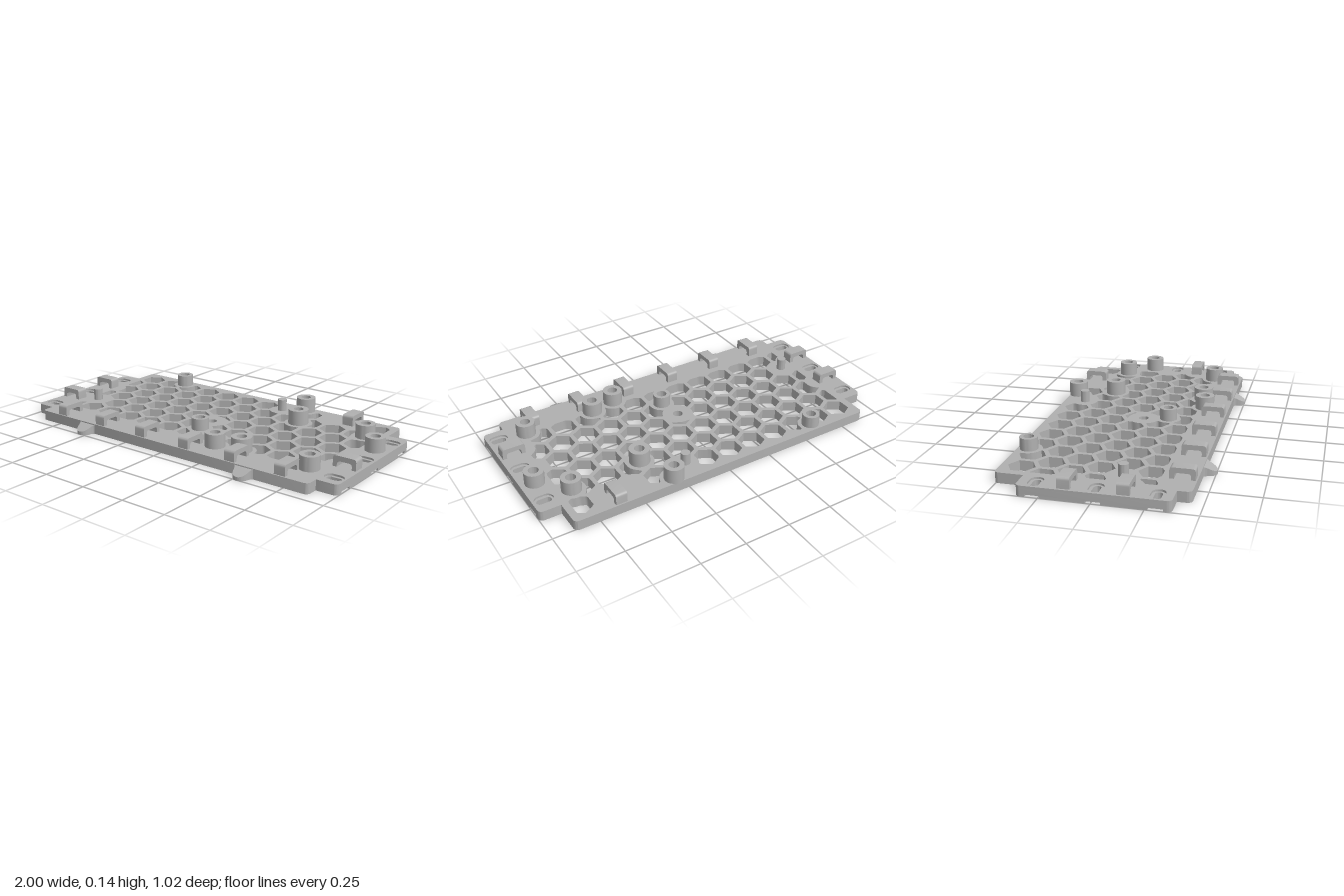
import * as THREE from 'three';
import { toCreasedNormals } from 'three/addons/utils/BufferGeometryUtils.js';

const plastic = new THREE.MeshStandardMaterial({ color: 0xb0b0b0 });
plastic.name = 'grey plastic';

const TOP = 0.055;      // plate thickness
const BODY_X = 0.885;   // half width of the body
const SLOT_Z = [-0.278, 0.012, 0.3];

// screw bosses: x, z, radius, top height
const BOSSES = [
  [-0.564, -0.45, 0.047, 0.12], [0.313, -0.463, 0.053, 0.135],
  [0.393, -0.255, 0.055, 0.135], [0.79, -0.278, 0.052, 0.13],
  [0.922, -0.133, 0.052, 0.13], [0.79, 0.277, 0.052, 0.13],
  [0.393, 0.277, 0.054, 0.13], [0.249, 0.308, 0.053, 0.13],
  [0.024, 0.144, 0.047, 0.12],
];
const PINS = [[0.2, -0.39], [-0.783, 0.1]];

// solid areas that the honeycomb leaves free: x, z, radius
const SOLID = [
  ...BOSSES.map(([x, z, r]) => [x, z, r + 0.022]),
  ...PINS.map(([x, z]) => [x, z, 0.07]),
  [0, 0.01, 0.085], [0.52, -0.405, 0.07], [0.665, -0.405, 0.07],
  [-0.87, -0.13, 0.07], [-0.87, 0.15, 0.07], [0.87, 0.15, 0.07],
];

function add(parent, name, geometry) {
  const mesh = new THREE.Mesh(toCreasedNormals(geometry, 0.6), plastic);
  mesh.name = name;
  parent.add(mesh);
  return mesh;
}

// plan shape (x, -z) raised from y0 to y1
function slab(shape, y0, y1) {
  return new THREE.ExtrudeGeometry(shape, { depth: y1 - y0, bevelEnabled: false, curveSegments: 16 })
    .rotateX(-Math.PI / 2).translate(0, y0, 0);
}

function circle(x, z, r) {
  return new THREE.Path().absarc(x, -z, r, 0, Math.PI * 2, true);
}

function roundedRect(path, x0, y0, x1, y1, r) {
  path.moveTo(x0 + r, y0);
  path.lineTo(x1 - r, y0).absarc(x1 - r, y0 + r, r, -Math.PI / 2, 0);
  path.lineTo(x1, y1 - r).absarc(x1 - r, y1 - r, r, 0, Math.PI / 2);
  path.lineTo(x0 + r, y1).absarc(x0 + r, y1 - r, r, Math.PI / 2, Math.PI);
  path.lineTo(x0, y0 + r).absarc(x0 + r, y0 + r, r, Math.PI, Math.PI * 1.5);
  return path;
}

// one honeycomb opening, cut back around the solid areas and the border
function hexHole(cx, cz) {
  const dist = (x, z) => {
    let d = Math.max(Math.abs(x) - 0.847, -0.475 - z, z - 0.275);
    for (let k = 0; k < 3; k++) {
      const a = k * Math.PI / 3;
      d = Math.max(d, Math.abs((x - cx) * Math.cos(a) + (z - cz) * Math.sin(a)) - 0.061);
    }
    for (const [sx, sz, r] of SOLID) d = Math.max(d, r - Math.hypot(x - sx, z - sz));
    return d;
  };
  let best = [0, 0, -0.008];
  for (let i = -6; i <= 6; i++) for (let j = -6; j <= 6; j++) {
    const x = cx + i * 0.011, z = cz + j * 0.011, d = dist(x, z);
    if (d < best[2] - 1e-6) best = [x, z, d];
  }
  if (best[2] === -0.008) return null;
  const points = [];
  for (let k = 0; k < 36; k++) {
    const a = k * Math.PI / 18, c = Math.cos(a), s = Math.sin(a);
    let t = 0;
    for (let n = 0; n < 40; n++) t -= dist(best[0] + c * t, best[1] + s * t);
    points.push(new THREE.Vector2(best[0] + c * t, -(best[1] + s * t)));
  }
  return new THREE.Path(points);
}

function bodyShape() {
  const shape = roundedRect(new THREE.Shape(), -BODY_X, -0.445, BODY_X, 0.51, 0.025);
  shape.holes.push(circle(0, 0.01, 0.027));
  for (let row = 0; row < 6; row++) for (let col = -1; col < 12; col++) {
    const hole = hexHole(-0.783 + (col + (row % 2) / 2) * 0.1449, -0.405 + row * 0.1255);
    if (hole) shape.holes.push(hole);
  }
  return shape;
}

// side wing outline; bites open the outer edge under each slot
function wingShape(s, slotLength, slotR, bites) {
  const r = 0.025, shape = new THREE.Shape();
  const arc = (cx, cy, rad, a0, a1) => {
    for (let i = 0; i <= 8; i++) {
      const a = a0 + (a1 - a0) * i / 8;
      shape.lineTo(s * (cx + rad * Math.cos(a)), cy + rad * Math.sin(a));
    }
  };
  shape.moveTo(s * BODY_X, -0.375);
  arc(1 - r, -0.375 + r, r, -Math.PI / 2, 0);
  if (bites) for (const z of [...SLOT_Z].reverse()) {
    shape.lineTo(s, -z - slotR);
    arc(0.928, -z, slotR, -Math.PI / 2, -Math.PI * 1.5);
    shape.lineTo(s, -z + slotR);
  }
  arc(1 - r, 0.36 - r, r, 0, Math.PI / 2);
  shape.lineTo(s * BODY_X, 0.36);
  if (!bites) for (const z of SLOT_Z) {
    const c = s * 0.938, h = slotLength / 2;
    shape.holes.push(roundedRect(new THREE.Path(), c - h, -z - slotR, c + h, -z + slotR, slotR - 0.0005));
  }
  return shape;
}

// arched cable clip, spanning along local x
function clipGeometry(length, width) {
  const h = length / 2, leg = 0.022, y0 = 0.05, y1 = 0.112, yi = 0.086, r = 0.016;
  const s = new THREE.Shape();
  s.moveTo(-h, y0);
  s.lineTo(-h, y1 - r).quadraticCurveTo(-h, y1, -h + r, y1);
  s.lineTo(h - r, y1).quadraticCurveTo(h, y1, h, y1 - r);
  s.lineTo(h, y0).lineTo(h - leg, y0);
  s.lineTo(h - leg, yi - r).quadraticCurveTo(h - leg, yi, h - leg - r, yi);
  s.lineTo(-h + leg + r, yi).quadraticCurveTo(-h + leg, yi, -h + leg, yi - r);
  s.lineTo(-h + leg, y0);
  return new THREE.ExtrudeGeometry(s, { depth: width, bevelEnabled: false, curveSegments: 5 })
    .translate(0, 0, -width / 2);
}

// front tab: flared plan, top sloping down to the tip
function tabGeometry(x) {
  const s = new THREE.Shape();
  s.moveTo(-0.06, 0.002);
  s.quadraticCurveTo(-0.046, -0.004, -0.042, -0.022);
  s.quadraticCurveTo(-0.032, -0.062, 0, -0.062);
  s.quadraticCurveTo(0.032, -0.062, 0.042, -0.022);
  s.quadraticCurveTo(0.046, -0.004, 0.06, 0.002);
  const g = slab(s, 0, 0.05), p = g.attributes.position;
  for (let i = 0; i < p.count; i++) {
    if (p.getY(i) > 0.01) p.setY(i, 0.05 - 0.5 * Math.max(0, p.getZ(i)));
  }
  return g.translate(x, 0, 0.444);
}

export function createModel() {
  const model = new THREE.Group();
  model.name = 'honeycombMountingPlate';

  add(model, 'honeycombPlate', slab(bodyShape(), 0, TOP));

  // side wings: recess below, slot through, shallow rim on top
  for (const s of [-1, 1]) {
    const wing = new THREE.Group();
    wing.name = s > 0 ? 'leftWing' : 'rightWing';
    add(wing, 'wingBottom', slab(wingShape(s, 0, 0.036, true), 0, 0.012));
    add(wing, 'wingMiddle', slab(wingShape(s, 0.078, 0.018, false), 0.012, 0.045));
    add(wing, 'wingTop', slab(wingShape(s, 0.1, 0.034, false), 0.045, TOP));
    model.add(wing);
  }

  for (const [x, z, r, h] of BOSSES) {
    const ring = new THREE.Shape().absarc(x, -z, r, 0, Math.PI * 2);
    ring.holes.push(circle(x, z, 0.027));
    add(model, 'screwBoss', slab(ring, 0.05, h));
  }
  for (const [x, z] of PINS) {
    add(model, 'locatingPin', new THREE.CylinderGeometry(0.025, 0.025, 0.07, 24).translate(x, 0.085, z));
  }

  // clips along the front edge, the back edge and the wings
  const clips = [-0.73, -0.44, -0.15, 0.142, 0.432, 0.724].map(x => [x, 0.375, 0.125, true]);
  clips.push([0.63, -0.44, 0.125, true], [-0.928, -0.13, 0.122, false],
    [-0.928, 0.15, 0.122, false], [0.923, 0.15, 0.125, false]);
  for (const [x, z, length, turned] of clips) {
    const clip = add(model, 'cableClip', clipGeometry(length, 0.062));
    clip.position.set(x, 0, z);
    if (turned) clip.rotation.y = Math.PI / 2;
  }

  for (const x of [-0.53, 0.525]) add(model, 'frontTab', tabGeometry(x));
  return model;
}
